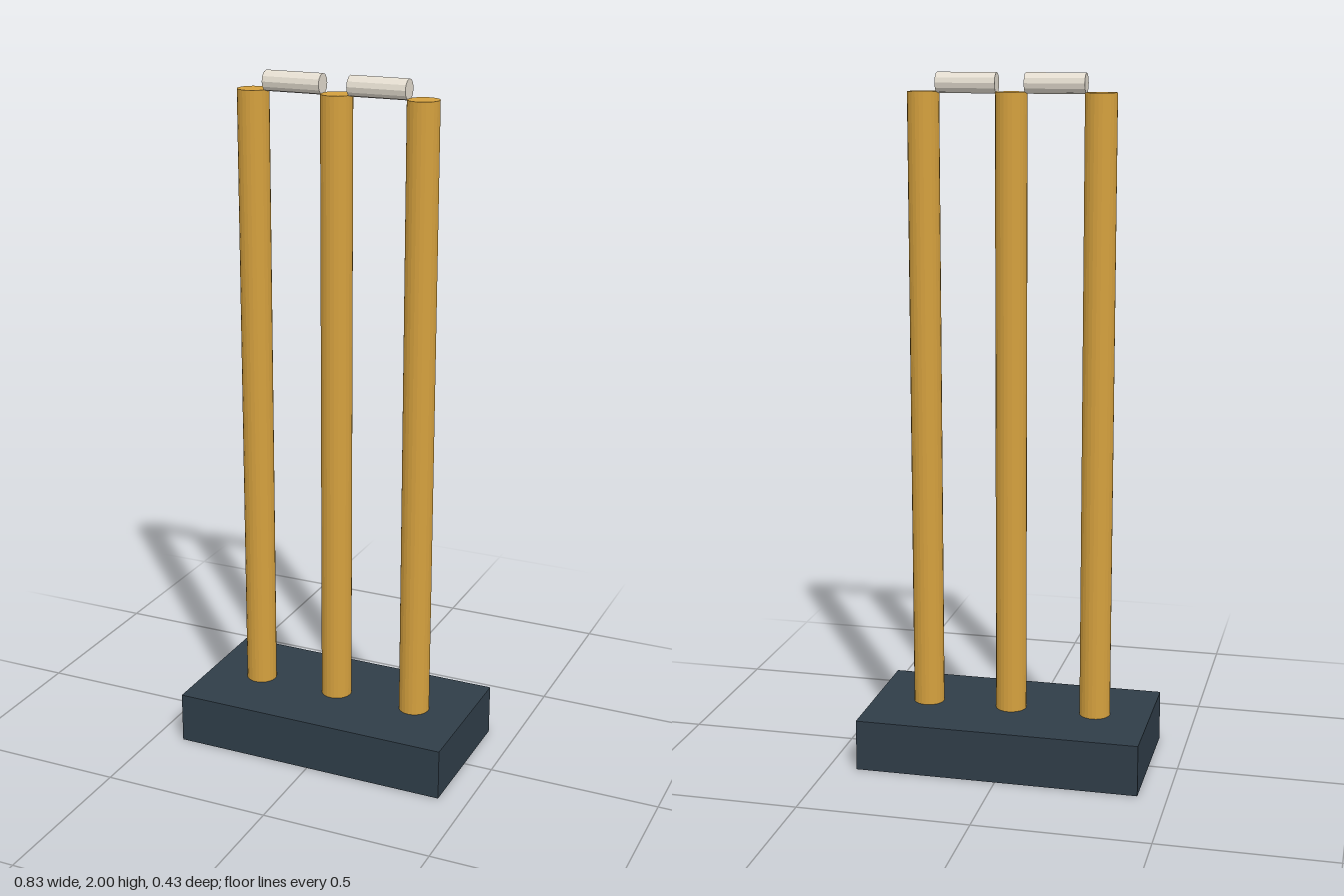
import * as THREE from 'three';

export function createModel() {
  const group = new THREE.Group();
  const material = (name, color) => {
    const m = new THREE.MeshStandardMaterial({ color });
    m.name = name;
    return m;
  };
  const wood = material('golden wood', 0xd4a03e);
  const slate = material('dark slate', 0x2f3d48);
  const ivory = material('pale ivory', 0xe4ddd0);

  const add = (name, geometry, mat, x, y) => {
    const mesh = new THREE.Mesh(geometry, mat);
    mesh.name = name;
    mesh.position.set(x, y, 0);
    group.add(mesh);
  };

  // Faceted sides give each rod its crisp turned look
  const rod = (radius, length, sides) => {
    const g = new THREE.CylinderGeometry(radius, radius, length, sides).toNonIndexed();
    g.computeVertexNormals();
    return g;
  };

  // Block stand
  const baseHeight = 0.15;
  add('base', new THREE.BoxGeometry(0.83, baseHeight, 0.43), slate, 0, baseHeight / 2);

  // Three upright stumps
  const stumpTop = 1.947;
  const stump = rod(0.045, stumpTop - baseHeight, 24);
  [['rightStump', -0.252], ['middleStump', 0], ['leftStump', 0.252]].forEach(([name, x]) =>
    add(name, stump, wood, x, (stumpTop + baseHeight) / 2));

  // Two bails bridging the gaps
  const bailRadius = 0.029;
  const bail = rod(bailRadius, 0.17, 12).rotateZ(Math.PI / 2);
  [['rightBail', -0.126], ['leftBail', 0.126]].forEach(([name, x]) =>
    add(name, bail, ivory, x, 2 - bailRadius));

  return group;
}
